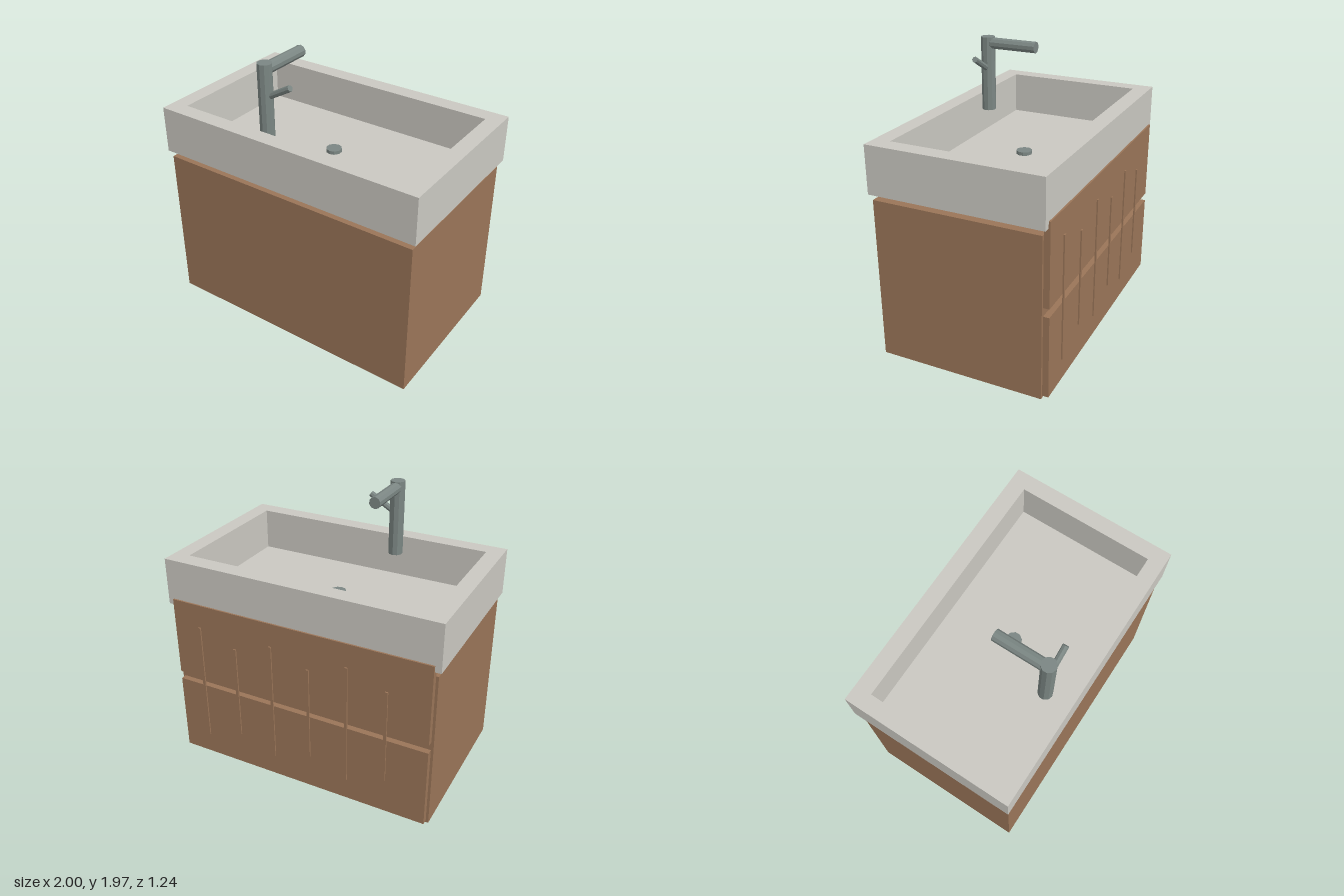
import * as THREE from 'three';

const mat = (name, color, flatShading = false) => {
  const m = new THREE.MeshStandardMaterial({ color, flatShading });
  m.name = name;
  return m;
};

export function createModel() {
  const group = new THREE.Group();
  const wood = mat('wood', 0x9a7558);
  const ceramic = mat('ceramic', 0xcac8c1);
  const white = mat('white', 0xfafafa);
  const metal = mat('metal', 0x7b8683, true);

  const add = (name, geometry, material) => {
    const mesh = new THREE.Mesh(geometry, material);
    mesh.name = name;
    group.add(mesh);
    return mesh;
  };
  // Box given by its limits on each axis
  const box = (name, material, [x0, x1], [y0, y1], [z0, z1]) => {
    const mesh = add(name, new THREE.BoxGeometry(x1 - x0, y1 - y0, z1 - z0), material);
    mesh.position.set((x0 + x1) / 2, (y0 + y1) / 2, (z0 + z1) / 2);
    return mesh;
  };
  // Faceted rod between two points
  const rod = (name, from, to, radius, sides) => {
    const a = new THREE.Vector3(...from), b = new THREE.Vector3(...to);
    const mesh = add(name, new THREE.CylinderGeometry(radius, radius, a.distanceTo(b), sides), metal);
    mesh.position.copy(a).add(b).multiplyScalar(0.5);
    mesh.quaternion.setFromUnitVectors(new THREE.Vector3(0, 1, 0), b.sub(a).normalize());
    return mesh;
  };

  // Cabinet and the two drawer fronts
  box('cabinet', wood, [-0.975, 0.975], [0, 1.15], [-0.57, 0.605]);
  box('lowerDrawer', wood, [-0.957, 0.957], [0.015, 0.6], [-0.612, -0.57]);
  box('upperDrawer', wood, [-0.957, 0.957], [0.66, 1.24], [-0.612, -0.57]);

  // Slats on the drawer fronts, alternately long and short
  for (let i = 0; i < 6; i++) {
    const x = 0.75 - i * 0.282, half = i % 2 ? 0.35 : 0.447;
    box('slat', wood, [x - 0.01, x + 0.01], [0.623 - half, 0.623 + half], [-0.622, -0.612]);
  }

  // Spacer under the basin
  box('spacer', white, [-0.955, 0.955], [1.18, 1.195], [-0.55, 0.58]);

  // Basin walls with an open centre, then the floor
  const rect = (path, x, near, far) =>
    path.moveTo(-x, -near).lineTo(x, -near).lineTo(x, far).lineTo(-x, far).closePath();
  const rim = rect(new THREE.Shape(), 1, 0.62, 0.6);
  rim.holes.push(rect(new THREE.Path(), 0.885, 0.505, 0.48));
  const walls = new THREE.ExtrudeGeometry(rim, { depth: 0.335, bevelEnabled: false });
  walls.rotateX(-Math.PI / 2).translate(0, 1.195, 0);
  add('basinWalls', walls, ceramic);
  box('basinFloor', ceramic, [-0.885, 0.885], [1.195, 1.23], [-0.48, 0.505]);

  // Drain and tap
  rod('drain', [0, 1.23, 0.01], [0, 1.255, 0.01], 0.056, 10);
  rod('tapPost', [-0.25, 1.435, 0.415], [-0.25, 1.97, 0.415], 0.051, 10);
  rod('tapSpout', [-0.25, 1.925, 0.415], [-0.25, 1.925, 0.038], 0.041, 10);
  rod('tapLever', [-0.25, 1.73, 0.415], [-0.05, 1.845, 0.415], 0.022, 8);

  return group;
}
